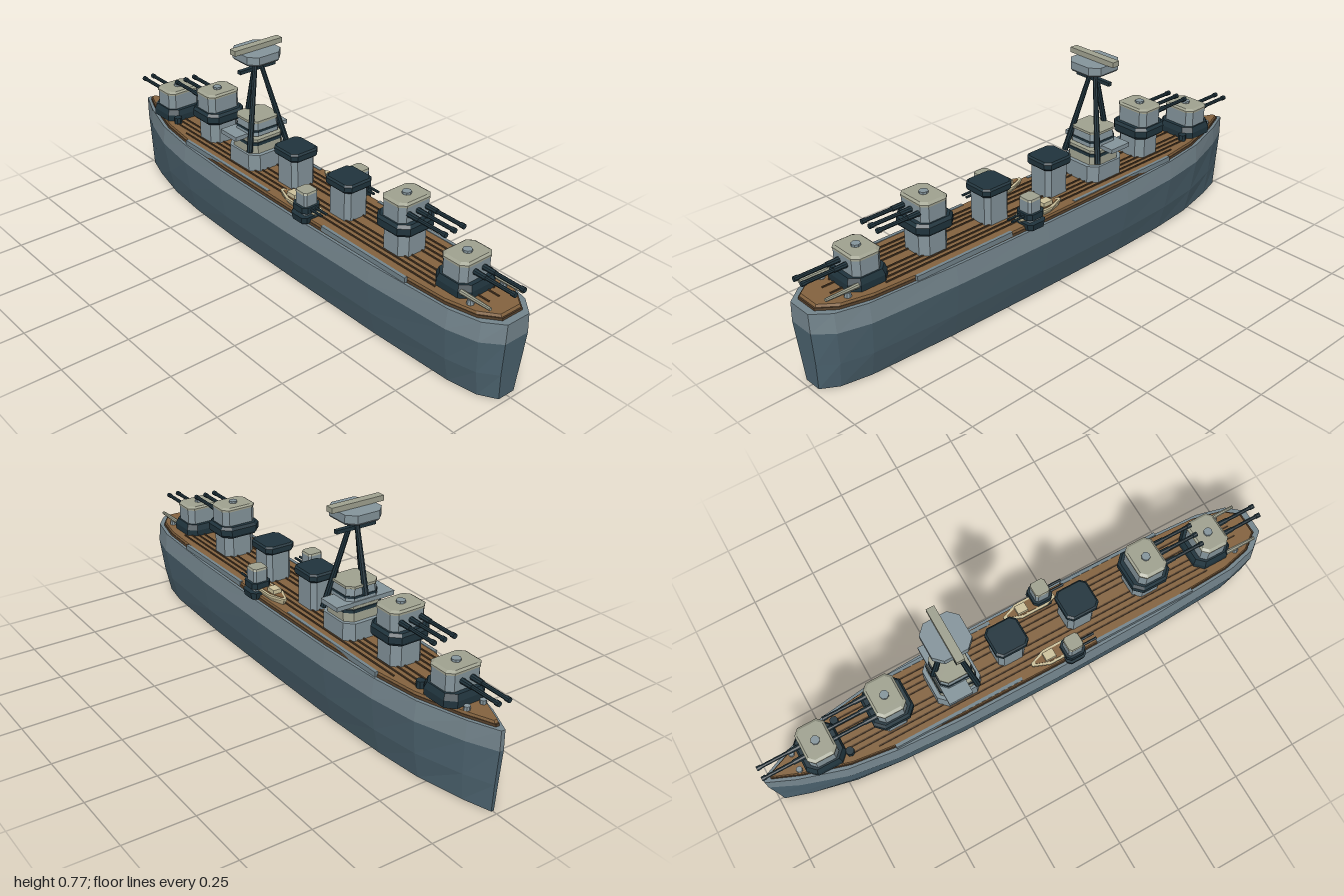
import * as THREE from 'three';

const mat = (name, color) => {
  const m = new THREE.MeshStandardMaterial({ color });
  m.name = name;
  return m;
};

// Closed prism lofted from a convex outline through levels of [y, scaleX, scaleZ].
function loft(outline, levels) {
  const pos = [];
  const ring = ([y, sx, sz]) => outline.map(([x, z]) => [x * sx, y, z * sz]);
  const tri = (a, b, c) => pos.push(...a, ...b, ...c);
  const rings = levels.map(ring);
  const n = outline.length;
  for (let k = 0; k + 1 < rings.length; k++) {
    for (let i = 0; i < n; i++) {
      const j = (i + 1) % n, a = rings[k], b = rings[k + 1];
      tri(a[i], a[j], b[j]);
      tri(a[i], b[j], b[i]);
    }
  }
  const bottom = rings[0], top = rings[rings.length - 1];
  for (let i = 1; i + 1 < n; i++) {
    tri(bottom[0], bottom[i + 1], bottom[i]);
    tri(top[0], top[i], top[i + 1]);
  }
  const g = new THREE.BufferGeometry();
  g.setAttribute('position', new THREE.Float32BufferAttribute(pos, 3));
  g.computeVertexNormals();
  return g;
}

// Mirror a stern-to-bow list of [z, halfWidth] into a closed outline.
const mirrored = (list) => [
  ...list.map(([z, w]) => [w, z]),
  ...list.slice().reverse().map(([z, w]) => [-w, z]),
];

// Rectangle with cut corners.
const octagon = (hx, hz, c) =>
  mirrored([[hz, hx - c], [hz - c, hx], [-hz + c, hx], [-hz, hx - c]]);

function rod(a, b, r0, r1, sides = 8) {
  const A = new THREE.Vector3(...a), B = new THREE.Vector3(...b), d = B.clone().sub(A);
  const g = new THREE.CylinderGeometry(r1, r0, d.length(), sides).toNonIndexed();
  g.computeVertexNormals();
  g.applyQuaternion(new THREE.Quaternion().setFromUnitVectors(
    new THREE.Vector3(0, 1, 0), d.normalize()));
  const m = A.add(B).multiplyScalar(0.5);
  return g.translate(m.x, m.y, m.z);
}

const box = (w, h, d, x, y, z) => new THREE.BoxGeometry(w, h, d).translate(x, y, z);

export function createModel() {
  const hullBlue = mat('hull slate', 0x4d6470);
  const hullGrey = mat('upper hull grey', 0x74858d);
  const grey = mat('armour grey', 0x85959c);
  const roof = mat('roof khaki grey', 0xa0a290);
  const dark = mat('dark navy', 0x20343d);
  const wood = mat('deck wood', 0x84633f);
  const seam = mat('deck seam', 0x543f2a);
  const cream = mat('boat cream', 0xcdc29c);

  const model = new THREE.Group();
  model.name = 'warship';
  const add = (parent, name, geometry, material) => {
    const m = new THREE.Mesh(geometry, material);
    m.name = name;
    parent.add(m);
    return m;
  };
  const group = (name, x, y, z) => {
    const g = new THREE.Group();
    g.name = name;
    g.position.set(x, y, z);
    model.add(g);
    return g;
  };

  // Hull: blunt stern at +z, sharp bow at -z
  const plan = mirrored([[1, 0.05], [0.94, 0.103], [0.83, 0.132], [0.5, 0.15], [0.1, 0.155],
    [-0.3, 0.152], [-0.55, 0.138], [-0.73, 0.112], [-0.9, 0.055], [-1, 0.008]]);
  add(model, 'lowerHull', loft(plan, [[0, 0.67, 0.982], [0.1, 0.865, 0.989], [0.225, 1, 1]]), hullBlue);
  add(model, 'upperHull', loft(plan, [[0.225, 1, 1], [0.296, 0.94, 1]]), hullGrey);
  add(model, 'deckEdge', loft(plan, [[0.296, 0.87, 0.975], [0.305, 0.86, 0.975]]), seam);
  add(model, 'deck', loft(plan, [[0.305, 0.85, 0.97], [0.314, 0.84, 0.965]]), wood);

  // Deck seams and edge strips
  for (const s of [-1, 1]) {
    for (const [x, back, front] of [[0.022, -0.84, 0.9], [0.045, -0.78, 0.86], [0.068, -0.7, 0.82], [0.09, -0.6, 0.74]])
      add(model, 'deckSeam', box(0.005, 0.005, front - back, s * x, 0.3155, (front + back) / 2), seam);
    add(model, 'edgeStrip', box(0.012, 0.018, 0.4, s * 0.127, 0.307, 0.45), hullGrey);
    add(model, 'edgeStrip', box(0.012, 0.018, 0.5, s * 0.12, 0.307, -0.3), hullGrey);
  }

  // Gun turrets
  function turret(z, raised, guns, turn) {
    const t = group(raised ? 'raisedTurret' : 'lowTurret', 0, 0.312, z);
    t.rotation.y = turn;
    const b = raised ? 0.125 : 0.042;
    if (raised) {
      add(t, 'barbette', loft(octagon(0.062, 0.058, 0.025), [[0, 1, 1], [0.09, 1, 1]]), grey);
      add(t, 'collar', loft(octagon(0.082, 0.076, 0.03), [[0.085, 0.92, 0.92], [0.095, 1, 1], [0.118, 1, 1], [0.128, 0.9, 0.9]]), dark);
    } else {
      add(t, 'collar', loft(octagon(0.082, 0.076, 0.03), [[0, 1, 1], [0.025, 1, 1], [0.045, 0.9, 0.9]]), dark);
    }
    const shell = octagon(0.07, 0.055, 0.02);
    add(t, 'gunhouse', loft(shell, [[b, 0.97, 0.97], [b + 0.062, 0.97, 0.97]]), grey);
    add(t, 'gunhouseRoof', loft(shell, [[b + 0.06, 1, 1], [b + 0.067, 1, 1], [b + 0.073, 0.86, 0.86]]), roof);
    add(t, 'hatch', rod([0, b + 0.07, 0], [0, b + 0.081, 0], 0.016, 0.016), grey);
    const y = b + 0.034;
    for (let i = 0; i < guns; i++) {
      const x = (i - (guns - 1) / 2) * 0.04;
      add(t, 'gunSleeve', rod([x, y, 0.045], [x, y, 0.1], 0.0105, 0.009), dark);
      add(t, 'gunBarrel', rod([x, y, 0.1], [x, y, 0.214], 0.007, 0.007), dark);
      add(t, 'gunMuzzle', rod([x, y, 0.2], [x, y, 0.216], 0.009, 0.009), dark);
    }
  }
  turret(0.78, false, 2, 0);
  turret(0.51, true, 3, 0);
  turret(-0.51, true, 3, Math.PI);
  turret(-0.78, false, 2, Math.PI);

  // Funnels
  for (const z of [0.235, -0.045]) {
    const f = group('funnel', 0, 0.312, z);
    add(f, 'funnelBody', loft(octagon(0.05, 0.052, 0.016), [[0, 1, 1], [0.12, 1, 1]]), grey);
    add(f, 'funnelCap', loft(octagon(0.06, 0.064, 0.018), [[0.112, 0.92, 0.92], [0.12, 1, 1], [0.137, 1, 1], [0.143, 0.9, 0.9]]), dark);
  }

  // Bridge tower in stepped tiers
  const bridge = group('bridge', 0, 0.312, -0.265);
  add(bridge, 'bridgeBase', loft(octagon(0.085, 0.085, 0.03), [[0, 1, 1], [0.066, 1, 1]]), grey);
  add(bridge, 'bridgeMiddle', loft(octagon(0.076, 0.07, 0.025), [[0.066, 1, 1], [0.12, 1, 0.95]]), roof);
  add(bridge, 'windowBand', loft(octagon(0.078, 0.071, 0.025), [[0.098, 1, 1], [0.11, 1, 1]]), dark);
  add(bridge, 'bridgeWing', box(0.234, 0.016, 0.09, 0, 0.126, -0.02), grey);
  add(bridge, 'bridgeTop', loft(octagon(0.066, 0.062, 0.022), [[0.13, 1, 1], [0.18, 0.9, 0.9]]), grey);
  add(bridge, 'topWindows', loft(octagon(0.066, 0.062, 0.022), [[0.144, 1.0, 1.0], [0.152, 0.99, 0.99]]), dark);
  add(bridge, 'bridgeRoof', loft(octagon(0.064, 0.06, 0.022), [[0.178, 1, 1], [0.187, 1, 1]]), roof);

  // Tripod mast with yard and spotting top
  const mast = group('mast', 0, 0, -0.263);
  for (const s of [-1, 1])
    add(mast, 'mastLeg', rod([s * 0.083, 0.39, 0.058], [s * 0.006, 0.72, 0.003], 0.011, 0.008), dark);
  add(mast, 'mastLeg', rod([0, 0.46, -0.065], [0, 0.72, -0.004], 0.011, 0.008), dark);
  add(mast, 'yard', box(0.156, 0.013, 0.016, 0, 0.679, 0), dark);
  add(mast, 'spottingTop', loft(octagon(0.073, 0.073, 0.03), [[0.715, 0.93, 0.93], [0.722, 1, 1], [0.75, 1, 1]]), grey);
  add(mast, 'rangefinder', box(0.206, 0.019, 0.03, 0, 0.761, 0), roof);

  // Side gun mounts, boats and small deck fittings
  const boatPlan = mirrored([[0.1, 0.016], [0.06, 0.03], [-0.04, 0.03], [-0.1, 0.006]]);
  for (const s of [-1, 1]) {
    const mount = group('sideGun', s * 0.117, 0.3, 0.155);
    add(mount, 'sponson', loft(octagon(0.044, 0.04, 0.014), [[0, 0.9, 0.9], [0.025, 1, 1]]), dark);
    add(mount, 'pedestal', box(0.05, 0.02, 0.05, 0, 0.033, 0), grey);
    add(mount, 'gunRing', loft(octagon(0.038, 0.038, 0.014), [[0.038, 1, 1], [0.06, 1, 1]]), dark);
    add(mount, 'gunhouse', loft(octagon(0.029, 0.029, 0.008), [[0.06, 1, 1], [0.105, 1, 1]]), grey);
    add(mount, 'gunhouseRoof', loft(octagon(0.03, 0.03, 0.009), [[0.104, 1, 1], [0.111, 0.92, 0.92]]), roof);
    for (const x of [-0.01, 0.01])
      add(mount, 'lightGun', rod([x, 0.05, 0.03], [x, 0.05, 0.092], 0.005, 0.005, 6), dark);

    const boat = group('boat', s * 0.1, 0.314, 0.1);
    add(boat, 'boatHull', loft(boatPlan, [[0, 0.65, 0.9], [0.018, 1, 1], [0.024, 1, 1]]), cream);
    add(boat, 'boatInside', loft(boatPlan, [[0.022, 0.7, 0.85], [0.026, 0.7, 0.85]]), wood);
    add(boat, 'boatCabin', box(0.032, 0.018, 0.04, 0, 0.032, -0.03), cream);

    add(model, 'sternGunBase', rod([s * 0.072, 0.312, 0.87], [s * 0.072, 0.33, 0.87], 0.013, 0.01), grey);
    add(model, 'sternGun', rod([s * 0.072, 0.336, 0.83], [s * 0.072, 0.336, 0.95], 0.009, 0.006), roof);
    add(model, 'bollard', rod([s * 0.062, 0.312, -0.695], [s * 0.062, 0.338, -0.695], 0.015, 0.015), dark);
    add(model, 'anchorWinch', rod([s * 0.032, 0.312, -0.875], [s * 0.032, 0.328, -0.875], 0.011, 0.011), grey);
  }
  return model;
}
